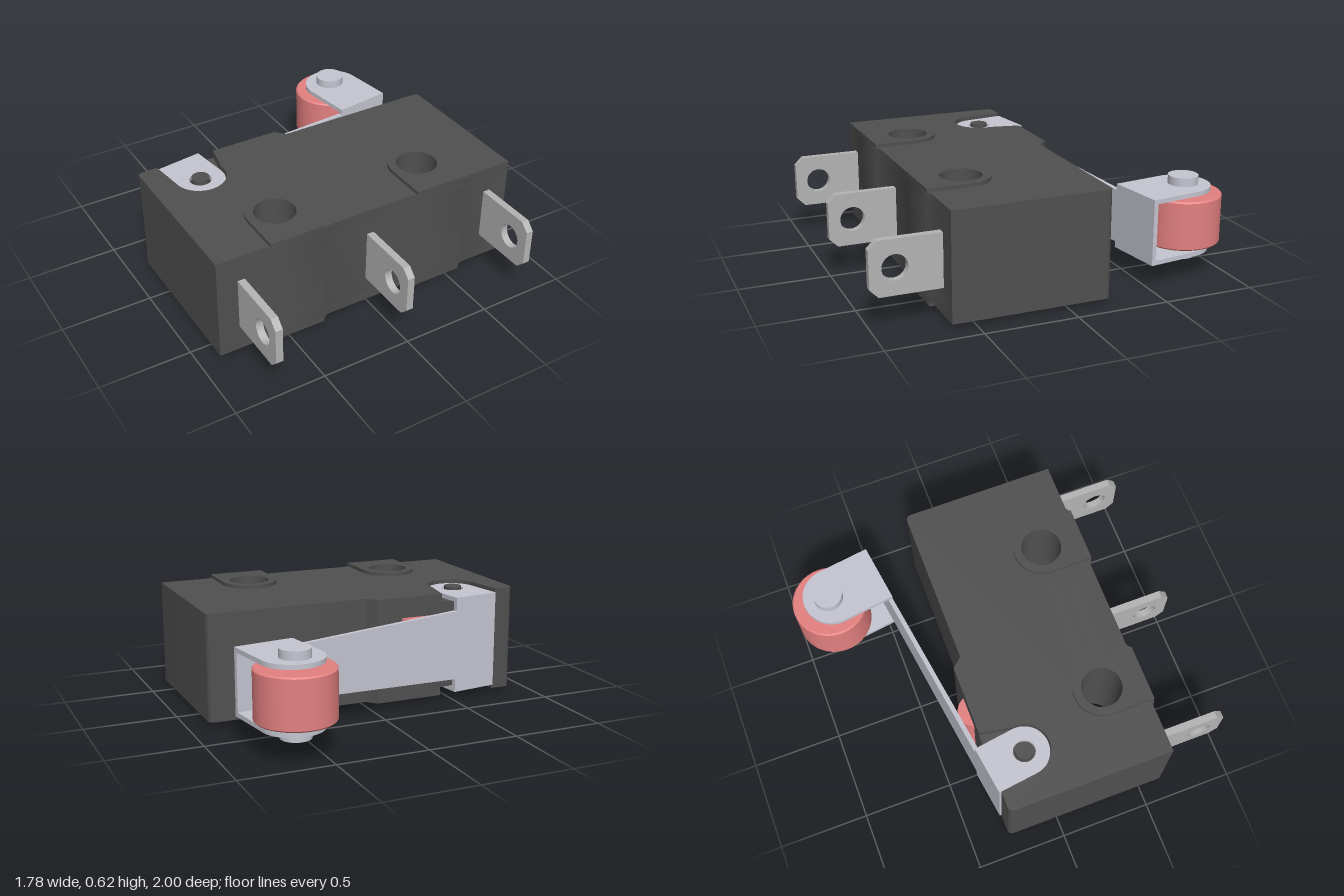
import * as THREE from 'three';
import { toCreasedNormals } from 'three/addons/utils/BufferGeometryUtils.js';

const MID = 0.315, TILT = 0.14;
const HOLES = [-0.44, 0.435];
const mat = (color) => new THREE.MeshStandardMaterial({ color });
const dark = mat(0x505050), metal = mat(0xc6c6d2), silver = mat(0xb4b4b4), red = mat(0xe48080);

function add(parent, name, geometry, material) {
  const mesh = new THREE.Mesh(geometry, material);
  mesh.name = name;
  parent.add(mesh);
  return mesh;
}

function extrude(shape, depth) {
  const g = new THREE.ExtrudeGeometry(shape, { depth, bevelEnabled: false, curveSegments: 24 });
  return toCreasedNormals(g, 0.6);
}

// Plan shape (x, -z) raised from y0 to y1
const slab = (shape, y0, y1) => extrude(shape, y1 - y0).rotateX(-Math.PI / 2).translate(0, y0, 0);

function cylinder(r, y0, y1, x, z) {
  return new THREE.CylinderGeometry(r, r, y1 - y0, 48).translate(x, (y0 + y1) / 2, z);
}

function punch(shape, x, y, r) {
  shape.holes.push(new THREE.Path().absarc(x, y, r, 0, Math.PI * 2, true));
  return shape;
}

// Plan outline of the housing, optionally with the pocket for the lever ear
function bodyShape(notched) {
  const s = new THREE.Shape();
  s.moveTo(-0.89, -0.625);
  for (const x of HOLES) {
    s.lineTo(x - 0.185, -0.625);
    s.lineTo(x - 0.155, -0.642);
    s.lineTo(x + 0.155, -0.642);
    s.lineTo(x + 0.185, -0.625);
  }
  s.lineTo(0.89, -0.625);
  s.lineTo(0.89, 0.205);
  s.absarc(0.86, 0.205, 0.03, 0, Math.PI / 2, false);
  s.lineTo(-0.005, 0.235);
  s.lineTo(-0.055, 0.29);
  if (notched) {
    s.lineTo(-0.44, 0.29);
    s.absarc(-0.61, 0.1, 0.14, TILT, TILT - Math.PI, true);
    s.lineTo(-0.775, 0.29);
  }
  s.lineTo(-0.86, 0.29);
  s.absarc(-0.86, 0.26, 0.03, Math.PI / 2, Math.PI, false);
  s.closePath();
  HOLES.forEach((x) => punch(s, x, -0.405, 0.11));
  return s;
}

// Tongue with one round end: straight edge at y = 0, arc centre at y = c
function tongue(x, r, c) {
  const s = new THREE.Shape();
  const d = Math.sign(c);
  s.moveTo(x - d * r, 0);
  s.lineTo(x + d * r, 0);
  s.absarc(x, c, r, d > 0 ? 0 : Math.PI, d > 0 ? Math.PI : Math.PI * 2, false);
  s.closePath();
  return s;
}

function buildHousing() {
  const g = new THREE.Group();
  g.name = 'housing';
  add(g, 'housingCore', slab(bodyShape(false), 0.07, 0.56), dark);
  add(g, 'housingTop', slab(bodyShape(true), 0.56, 0.605), dark);
  add(g, 'housingBottom', slab(bodyShape(true), 0.022, 0.07), dark);
  // Raised arches around the mounting holes, on both faces
  for (const x of HOLES) {
    const arch = punch(tongue(x, 0.155, 0.237), x, 0.237, 0.11);
    for (const [y0, y1] of [[0.605, 0.625], [0, 0.022]]) {
      add(g, 'mountingPad', slab(arch, y0, y1).translate(0, 0, 0.642), dark);
    }
  }
  add(g, 'pivotPin', cylinder(0.048, 0.035, 0.6, -0.61, -0.1), dark);
  return g;
}

function buildTerminal(x) {
  // Side profile drawn in (z, y)
  const s = new THREE.Shape([
    [0.6, 0.17], [0.955, 0.17], [1, 0.215], [1, 0.415], [0.955, 0.46], [0.6, 0.46],
  ].map(([z, y]) => new THREE.Vector2(z, y)));
  punch(s, 0.87, MID, 0.067);
  const geometry = extrude(s, 0.04).rotateY(-Math.PI / 2).translate(x + 0.02, 0, 0);
  return add(new THREE.Group(), 'terminal', geometry, silver);
}

function buildLever() {
  const g = new THREE.Group();
  g.name = 'lever';
  g.position.set(-0.775, 0, -0.3);
  g.rotation.y = TILT;
  // Sheet along the back: wide foot, tapering arm, roller bracket
  const half = [[0, 0.27], [0.27, 0.27], [0.27, 0.195], [1.29, 0.145], [1.29, 0.18], [1.62, 0.18]];
  const outline = [
    ...half.map(([u, h]) => new THREE.Vector2(u, MID - h)),
    ...half.slice().reverse().map(([u, h]) => new THREE.Vector2(u, MID + h)),
  ];
  add(g, 'leverArm', extrude(new THREE.Shape(outline), 0.025), metal);
  // Folded ears at the pivot and at the roller
  const pivotEar = punch(tongue(0.135, 0.135, -0.221), 0.135, -0.221, 0.06);
  for (const y of [0.045, 0.56]) add(g, 'pivotEar', slab(pivotEar, y, y + 0.025), metal);
  const rollerEar = tongue(1.455, 0.165, 0.291);
  for (const y of [0.135, 0.47]) {
    add(g, 'rollerEar', slab(rollerEar, y, y + 0.025).translate(0, 0, 0.025), metal);
  }
  // Roller and its riveted axle
  const u = 1.453, w = -0.291;
  const profile = [[0.045, 0.18], [0.2, 0.18], [0.208, 0.188], [0.208, 0.442], [0.2, 0.45], [0.045, 0.45]]
    .map(([r, y]) => new THREE.Vector2(r, y));
  add(g, 'roller', toCreasedNormals(new THREE.LatheGeometry(profile, 64), 0.5).translate(u, 0, w), red);
  add(g, 'rollerAxle', cylinder(0.045, 0.12, 0.51, u, w), metal);
  for (const y of [0.088, 0.495]) add(g, 'axleHead', cylinder(0.081, y, y + 0.047, u, w), metal);
  return g;
}

export function createModel() {
  const model = new THREE.Group();
  model.name = 'rollerLeverSwitch';
  model.add(buildHousing());
  for (const x of [-0.755, 0, 0.755]) model.add(buildTerminal(x));
  model.add(buildLever());
  // Plunger pressed by the lever
  add(model, 'plunger', cylinder(0.09, 0.13, 0.49, -0.28, -0.258), red);
  return model;
}
